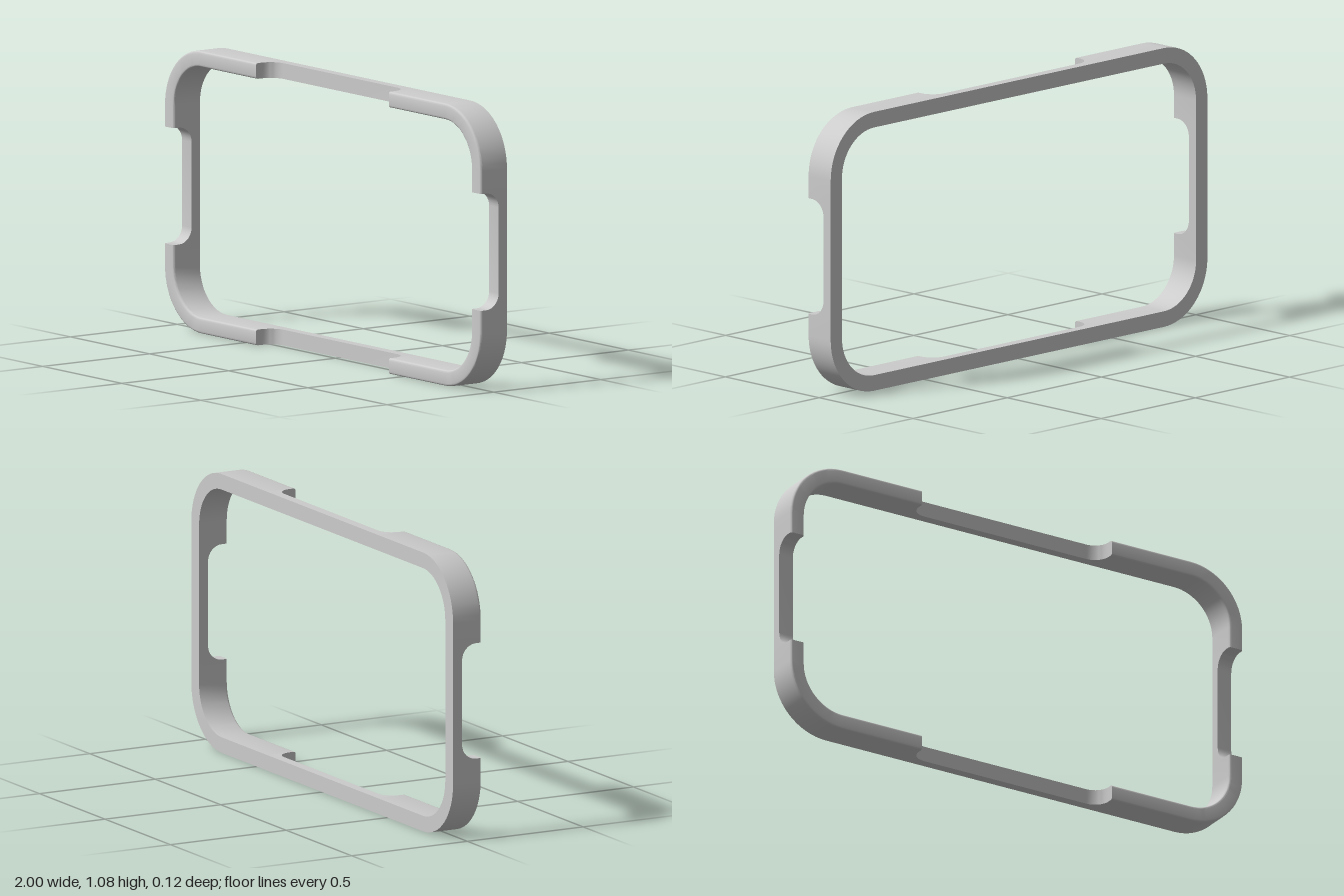
import * as THREE from 'three';
import { toCreasedNormals } from 'three/addons/utils/BufferGeometryUtils.js';

const W = 1, H = 0.5375;            // half width and half height
const R = 0.23, T = 0.06;           // outer corner radius, band thickness
const BACK = -0.0615, FRONT = 0.0615, FLOOR = -0.023;
const FILLET = 0.06, EDGE = 0.009;  // notch fillet, rounded front edge

// Band cross-section as [inward distance, z], from outer back to inner back
function section(z, edge) {
  const pts = [[0, BACK]];
  const n = 4;
  for (let k = 0; k <= n; k++) {
    const a = (k / n) * Math.PI / 2;
    pts.push([edge * (1 - Math.cos(a)), z - edge * (1 - Math.sin(a))]);
  }
  for (let k = 0; k <= n; k++) {
    const a = (k / n) * Math.PI / 2;
    pts.push([T - edge * (1 - Math.sin(a)), z - edge * (1 - Math.cos(a))]);
  }
  pts.push([T, BACK]);
  return pts;
}

// Front height along one half of a notch, as [distance from notch end, z, edge]
function notchProfile() {
  const list = [[0, FRONT, EDGE]];
  for (let k = 0; k <= 8; k++) {
    const a = (k / 8) * Math.PI / 2;
    list.push([FILLET * (1 - Math.cos(a)), FLOOR + FILLET * (1 - Math.sin(a)), 0]);
  }
  return list;
}

// Stations around the frame, counter-clockwise: four notched sides and corners
function stations() {
  const out = [];
  const notch = notchProfile();
  for (let q = 0; q < 4; q++) {
    const angle = q * Math.PI / 2;
    const nx = Math.round(Math.cos(angle)), ny = Math.round(Math.sin(angle));
    const dist = q % 2 ? H : W;
    const halfLength = q % 2 ? W : H;
    const halfNotch = q % 2 ? 0.42 : 0.2225;
    const add = (t, z, edge) =>
      out.push({ x: nx * dist - ny * t, y: ny * dist + nx * t, nx, ny, z, edge });
    notch.forEach(([s, z, e]) => add(-halfNotch + s, z, e));
    [...notch].reverse().forEach(([s, z, e]) => add(halfNotch - s, z, e));
    // Rounded corner after this side
    const cx = nx * (dist - R) - ny * (halfLength - R);
    const cy = ny * (dist - R) + nx * (halfLength - R);
    for (let k = 0; k <= 16; k++) {
      const a = angle + (k / 16) * Math.PI / 2;
      const c = Math.cos(a), s = Math.sin(a);
      out.push({ x: cx + R * c, y: cy + R * s, nx: c, ny: s, z: FRONT, edge: EDGE });
    }
  }
  return out;
}

function frameGeometry() {
  const rings = stations().map((p) => section(p.z, p.edge).map(([d, z]) =>
    new THREE.Vector3(p.x - p.nx * d, p.y - p.ny * d + H, z)));
  const positions = [];
  const ab = new THREE.Vector3(), ac = new THREE.Vector3();
  const tri = (a, b, c) => {
    ab.subVectors(b, a);
    ac.subVectors(c, a);
    if (ab.cross(ac).length() < 1e-9) return;
    for (const v of [a, b, c]) positions.push(v.x, v.y, v.z);
  };
  rings.forEach((ring, i) => {
    const next = rings[(i + 1) % rings.length];
    ring.forEach((p, j) => {
      const m = (j + 1) % ring.length;
      tri(p, next[j], next[m]);
      tri(p, next[m], ring[m]);
    });
  });
  const geometry = new THREE.BufferGeometry();
  geometry.setAttribute('position', new THREE.Float32BufferAttribute(positions, 3));
  return toCreasedNormals(geometry, Math.PI / 6);
}

export function createModel() {
  const group = new THREE.Group();
  group.name = 'notchedBumperFrame';
  const frame = new THREE.Mesh(frameGeometry(), new THREE.MeshStandardMaterial({ color: 0xcccccc }));
  frame.name = 'frame';
  group.add(frame);
  return group;
}
